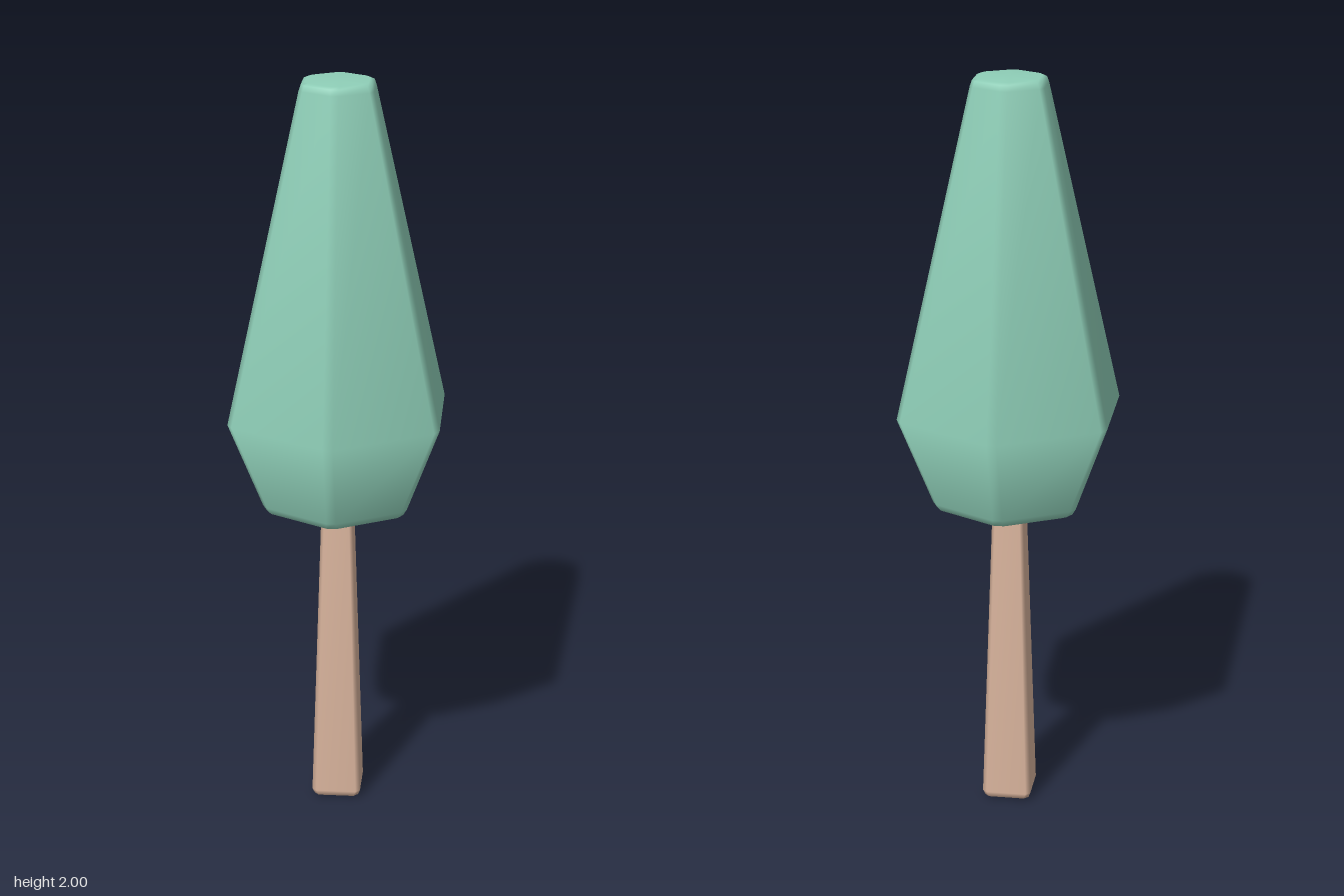
import * as THREE from 'three';

// Lofts polygonal rings with bevelled corners; each ring is [y, distance to flat side, bevel].
function loft(sides, turn, rings) {
  const pos = [], index = [], n = sides * 2;
  for (const [y, r, bevel] of rings) {
    const half = r * Math.tan(Math.PI / sides) - bevel;
    for (let k = 0; k < sides; k++) {
      const a = turn + (k * 2 * Math.PI) / sides;
      for (const t of [-half, half]) {
        pos.push(r * Math.sin(a) + t * Math.cos(a), y, r * Math.cos(a) - t * Math.sin(a));
      }
    }
  }
  for (let j = 0; j < rings.length - 1; j++) {
    for (let i = 0; i < n; i++) {
      const a = j * n + i, b = j * n + ((i + 1) % n);
      index.push(a, b, b + n, a, b + n, a + n);
    }
  }
  // end caps
  const last = (rings.length - 1) * n, base = pos.length / 3;
  pos.push(0, rings[0][0], 0, 0, rings[rings.length - 1][0], 0);
  for (let i = 0; i < n; i++) {
    const next = (i + 1) % n;
    index.push(base, next, i, base + 1, last + i, last + next);
  }
  const g = new THREE.BufferGeometry();
  g.setAttribute('position', new THREE.Float32BufferAttribute(pos, 3));
  g.setIndex(index);
  g.computeVertexNormals();
  return g;
}

export function createModel() {
  const group = new THREE.Group();
  const leaf = new THREE.MeshStandardMaterial({ color: 0x8fcfb8 });
  const wood = new THREE.MeshStandardMaterial({ color: 0xd8b39c });
  const add = (name, geometry, material) => {
    const mesh = new THREE.Mesh(geometry, material);
    mesh.name = name;
    group.add(mesh);
  };

  // tapered square trunk with softened edges
  add('trunk', loft(4, 0, [
    [0, 0.048, 0.012], [0.006, 0.06, 0.012], [0.022, 0.066, 0.012],
    [0.82, 0.042, 0.009], [0.86, 0.041, 0.009],
  ]), wood);

  // small flare where the trunk meets the foliage
  add('crownNeck', loft(4, 0, [
    [0.832, 0.043, 0.01], [0.845, 0.047, 0.011], [0.855, 0.06, 0.015], [0.862, 0.07, 0.018],
  ]), leaf);

  // six-sided crown with corners pointing to the front and back
  add('crown', loft(6, Math.PI / 6, [
    [0.855, 0.165, 0.015], [0.862, 0.18, 0.015], [0.88, 0.19, 0.015],
    [1.12, 0.275, 0.015],
    [1.98, 0.095, 0.012], [1.995, 0.09, 0.012], [2, 0.08, 0.012],
  ]), leaf);

  return group;
}
